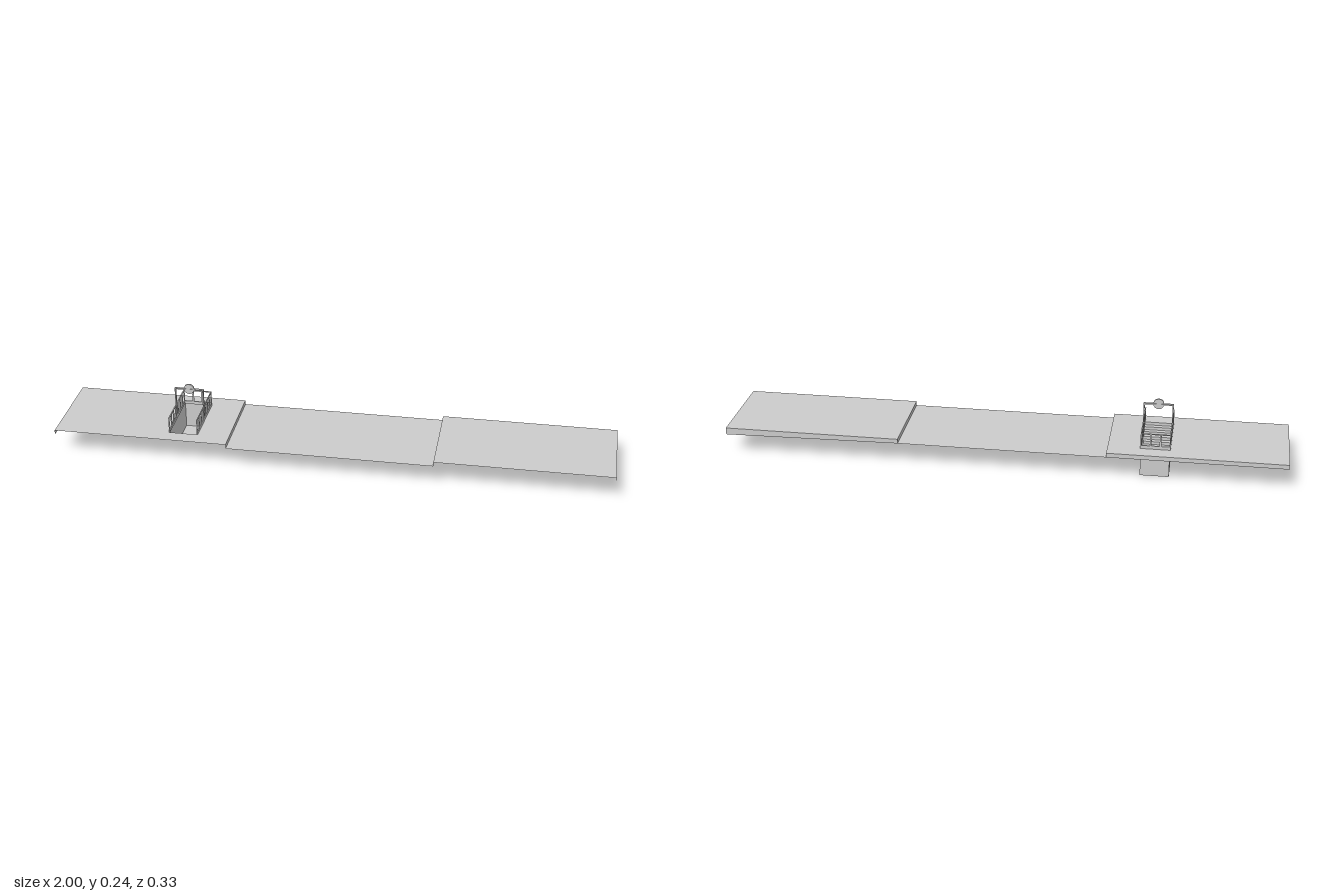
import * as THREE from 'three';

const mat = new THREE.MeshStandardMaterial({ color: 0xcccccc, side: THREE.DoubleSide, flatShading: true });
const HALF = 0.166, TOP = 0.1, ROAD = 0.084, CURB = 0.37;
const X0 = -0.588, X1 = -0.486, XC = (X0 + X1) / 2; // stairwell width
const Z0 = -0.11, Z1 = 0.112;                       // stairwell length
const STEPS = 9, RISE = TOP / STEPS, RUN = 0.0172;

function add(parent, name, geo, x = 0, y = 0, z = 0) {
  const m = new THREE.Mesh(geo, mat);
  m.name = name;
  m.position.set(x, y, z);
  parent.add(m);
  return m;
}

function box(parent, name, w, h, d, x, y, z) {
  return add(parent, name, new THREE.BoxGeometry(w, h, d), x, y, z);
}

// Four-cornered sheet, corners counter-clockwise from its front
function quad(parent, name, a, b, c, d) {
  const g = new THREE.BufferGeometry();
  g.setAttribute('position', new THREE.Float32BufferAttribute([...a, ...b, ...c, ...d], 3));
  g.setIndex([0, 1, 2, 0, 2, 3]);
  g.computeVertexNormals();
  return add(parent, name, g);
}

const polygon = pts => new THREE.Shape(pts.map(p => new THREE.Vector2(...p)));
const rect = (x0, y0, x1, y1) => [[x0, y0], [x1, y0], [x1, y1], [x0, y1]];

// Open sheet pavement: top, two end curbs and a back face
function sidewalk(name, xa, xb, ya, yb, hole) {
  const g = new THREE.Group();
  g.name = name;
  const shape = polygon(rect(xa, -HALF, xb, HALF));
  if (hole) shape.holes.push(new THREE.Path(hole.map(p => new THREE.Vector2(...p))));
  add(g, 'pavementTop', new THREE.ShapeGeometry(shape).rotateX(-Math.PI / 2), 0, TOP, 0);
  quad(g, 'pavementBack', [xb, yb, -HALF], [xa, ya, -HALF], [xa, TOP, -HALF], [xb, TOP, -HALF]);
  quad(g, 'curbRight', [xa, ya, -HALF], [xa, ya, HALF], [xa, TOP, HALF], [xa, TOP, -HALF]);
  quad(g, 'curbLeft', [xb, yb, HALF], [xb, yb, -HALF], [xb, TOP, -HALF], [xb, TOP, HALF]);
  return g;
}

function stairwell() {
  const g = new THREE.Group();
  g.name = 'stairwell';
  const back = -0.104, end = -0.118;
  // Stepped profile in (z, y), from the street down to the landing
  const profile = [[Z1, TOP]];
  for (let i = 0; i < STEPS; i++) {
    const y = TOP - (i + 1) * RISE;
    profile.push([Z1 - i * RUN, y], [i < STEPS - 1 ? Z1 - (i + 1) * RUN : back, y]);
  }
  for (let i = 0; i < profile.length - 1; i++) {
    const [za, ya] = profile[i], [zb, yb] = profile[i + 1];
    quad(g, i % 2 ? 'tread' : 'riser', [X0, ya, za], [X1, ya, za], [X1, yb, zb], [X0, yb, zb]);
  }
  const side = new THREE.ShapeGeometry(polygon([...profile, [back, TOP]])).rotateY(-Math.PI / 2);
  for (const x of [X0, X1]) {
    add(g, 'stairSideWall', side, x);
    quad(g, 'endSideWall', [x, 0, back], [x, 0, end], [x, TOP, end], [x, TOP, back]);
  }
  quad(g, 'endWall', [X1, 0, end], [X0, 0, end], [X0, TOP, end], [X1, TOP, end]);
  quad(g, 'endFloor', [X0, 0, back], [X1, 0, back], [X1, 0, end], [X0, 0, end]);
  return g;
}

function railings() {
  const g = new THREE.Group();
  g.name = 'railings';
  const kerbH = 0.012, railY = 0.156, postH = railY - TOP - kerbH, postY = TOP + kerbH + postH / 2;
  const len = Z1 - Z0, zc = (Z0 + Z1) / 2, T = 0.004;
  for (const x of [X0, X1]) {
    box(g, 'sideKerb', T, kerbH, len, x, TOP + kerbH / 2, zc);
    box(g, 'sideRail', T, 0.003, len - 0.002, x, railY, zc);
    for (let i = 0; i < 8; i++) box(g, 'sidePost', T, postH, i % 7 ? 0.006 : 0.003, x, postY, 0.109 - i * 0.0309);
  }
  box(g, 'backKerb', X1 - X0, kerbH, T, XC, TOP + kerbH / 2, Z0 + T / 2);
  box(g, 'backRail', X1 - X0, 0.003, T, XC, railY, Z0 + T / 2);
  for (const t of [1 / 3, 2 / 3]) box(g, 'backPost', 0.006, postH, T, X0 + (X1 - X0) * t, postY, Z0 + T / 2);
  return g;
}

// Plain round sign carried on a frame across the stairs
function signFrame() {
  const g = new THREE.Group();
  g.name = 'signFrame';
  const z = 0.003, h = 0.225;
  for (const x of [X0, X1]) box(g, 'framePost', 0.004, h - TOP, 0.009, x, (TOP + h) / 2, z);
  box(g, 'frameBar', X1 - X0, 0.004, 0.009, XC, h - 0.002, z);
  add(g, 'signDisc', new THREE.CylinderGeometry(0.019, 0.019, 0.006, 24).rotateX(Math.PI / 2), XC, 0.224, z);
  return g;
}

export function createModel() {
  const group = new THREE.Group();
  group.name = 'streetWithStairEntrance';
  add(group, 'road', new THREE.PlaneGeometry(2 * CURB, 2 * HALF).rotateX(-Math.PI / 2), 0, ROAD, 0);
  group.add(
    sidewalk('entranceSidewalk', -1, -CURB, ROAD, ROAD, rect(X0, -Z1, X1, -Z0)),
    sidewalk('plainSidewalk', CURB, 1, ROAD, 0.075),
    stairwell(), railings(), signFrame()
  );
  return group;
}
